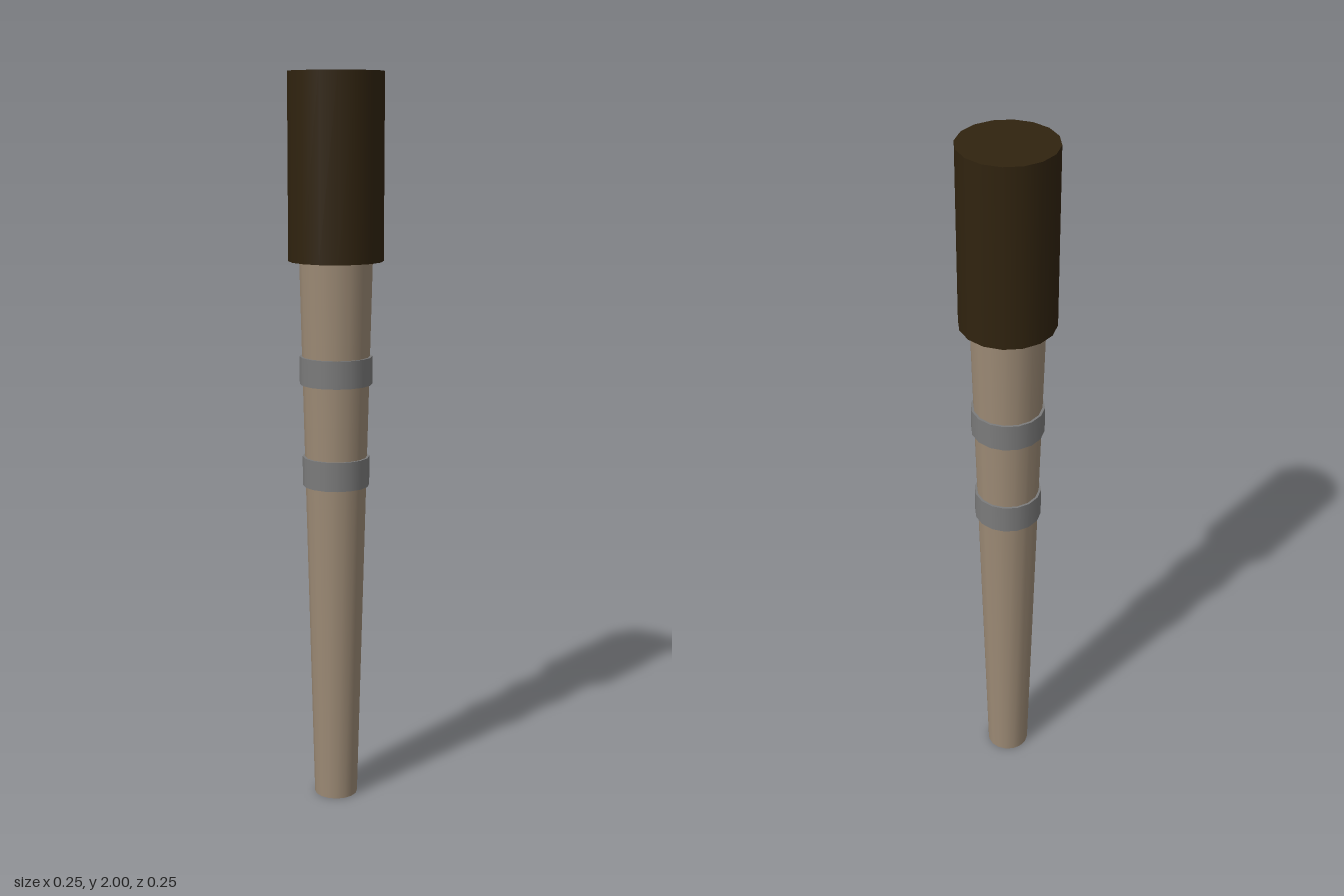
import * as THREE from 'three';

const SIDES = 16;

function material(name, color) {
  const m = new THREE.MeshStandardMaterial({ color });
  m.name = name;
  return m;
}

// Upright round section between two heights
function section(name, rBottom, rTop, y0, y1, mat) {
  const geometry = new THREE.CylinderGeometry(rTop, rBottom, y1 - y0, SIDES);
  const mesh = new THREE.Mesh(geometry, mat);
  mesh.position.y = (y0 + y1) / 2;
  mesh.name = name;
  return mesh;
}

export function createModel() {
  const wood = material('pale wood', 0x9c8a75);
  const grip = material('dark brown', 0x30230f);
  const metal = material('grey metal', 0x7b7b7b);

  const model = new THREE.Group();
  model.name = 'taperedPole';

  // Tapered shaft, wider toward the top
  model.add(section('shaft', 0.06, 0.098, 0, 1.515, wood));

  // Two plain collars around the shaft
  model.add(section('lowerBand', 0.091, 0.091, 0.9, 0.98, metal));
  model.add(section('upperBand', 0.098, 0.098, 1.18, 1.255, metal));

  // Thick dark sleeve with a pale underside (side, top, bottom)
  model.add(section('sleeve', 0.127, 0.127, 1.51, 2, [grip, grip, wood]));

  return model;
}
